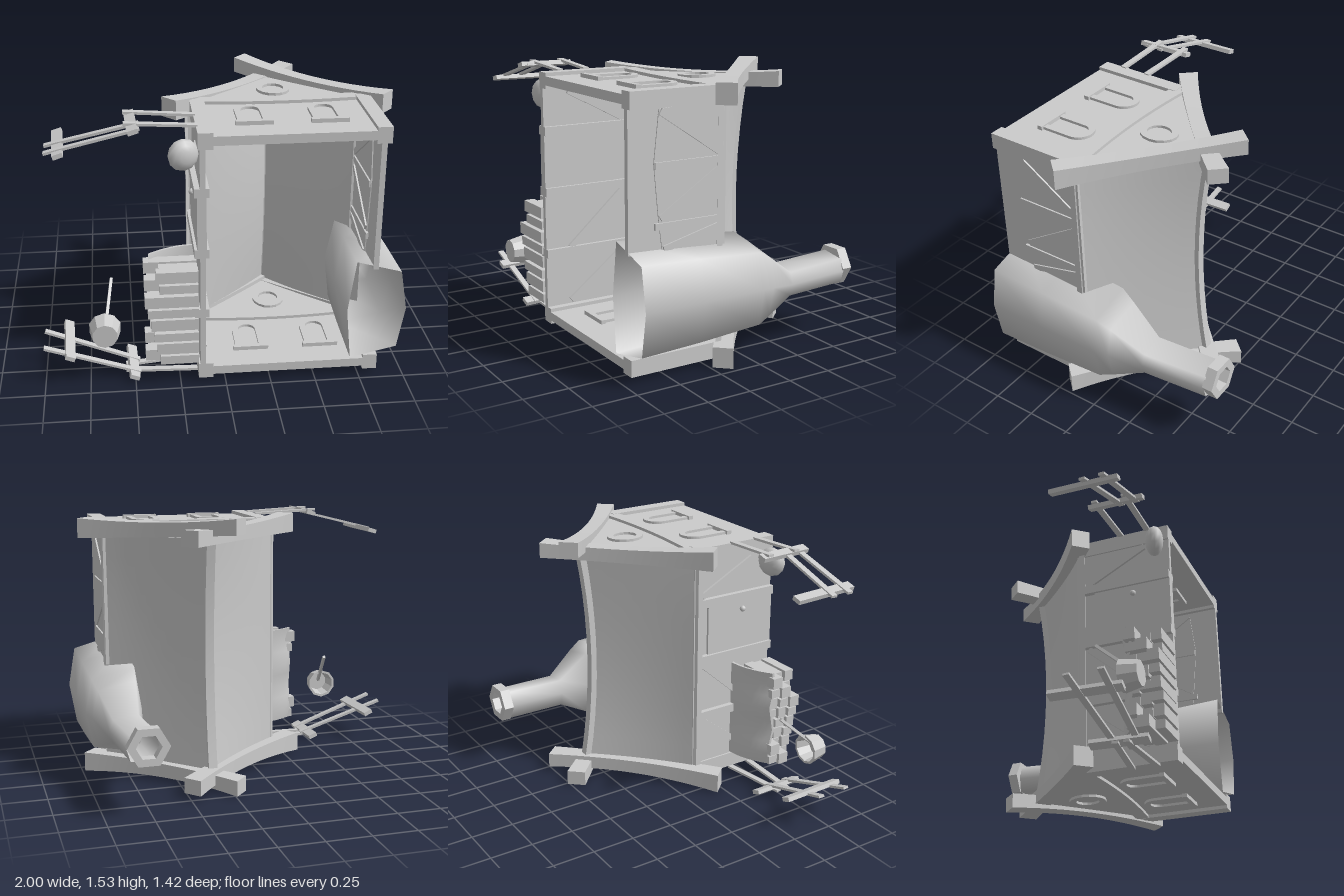
import * as THREE from 'three';
import { toCreasedNormals } from 'three/addons/utils/BufferGeometryUtils.js';

const grey = new THREE.MeshStandardMaterial({ color: 0xcccccc });
const flat = new THREE.MeshStandardMaterial({ color: 0xcccccc, flatShading: true });
const thin = new THREE.MeshStandardMaterial({ color: 0xcccccc, side: THREE.DoubleSide });
const V = (x, y, z) => new THREE.Vector3(x, y, z);

export function createModel() {
  const root = new THREE.Group();
  // The cottage is laid on its back: inside this group y is the cottage's own up.
  const house = new THREE.Group();
  house.name = 'cottage';
  house.rotation.x = -Math.PI / 2;
  root.add(house);

  function add(name, geo, mat = flat, x = 0, y = 0, z = 0) {
    const m = new THREE.Mesh(geo, mat);
    m.name = name;
    m.position.set(x, y, z);
    house.add(m);
    return m;
  }
  const box = (name, w, h, d, x, y, z) => add(name, new THREE.BoxGeometry(w, h, d), flat, x, y, z);
  // straight timber between two points
  function bar(name, a, b, w, h) {
    const m = new THREE.Mesh(new THREE.BoxGeometry(w, h, a.distanceTo(b)), flat);
    m.name = name;
    m.position.copy(a).lerp(b, 0.5);
    m.lookAt(b);
    house.add(m);
  }
  // extrusion centred on its own depth
  function plate(name, shape, depth, x, y, z) {
    const g = new THREE.ExtrudeGeometry(shape, { depth, bevelEnabled: false, curveSegments: 8 });
    g.translate(0, 0, -depth / 2);
    return add(name, g, flat, x, y, z);
  }
  function bend(geo, rule) {
    const p = geo.attributes.position, v = V();
    for (let i = 0; i < p.count; i++) {
      rule(v.fromBufferAttribute(p, i));
      p.setXYZ(i, v.x, v.y, v.z);
    }
    geo.computeVertexNormals();
    return toCreasedNormals(geo, 0.7);
  }
  const poly = pts => new THREE.Shape(pts.map(p => new THREE.Vector2(...p)));

  // Roof: concave slopes with a sagging ridge and ridge board
  add('roof', bend(new THREE.BoxGeometry(2, 0.035, 1.3, 16, 1, 10), v => {
    const t = Math.abs(v.x), r = 1 - t;
    const sag = 1 - (v.z / 0.65) ** 2;
    v.y += -0.17 + 0.49 * r - 0.08 * r * t - 0.06 * sag * r;
    v.x = 0.34 + v.x * 0.515;
    v.z += 0.77;
  }), thin);
  add('ridgeBoard', bend(new THREE.BoxGeometry(0.05, 0.045, 1.3, 1, 1, 10), v => {
    v.y += 0.322 - 0.06 * (1 - (v.z / 0.65) ** 2);
    v.x += 0.335;
    v.z += 0.77;
  }), grey);

  // Gable ends
  function arch(w, h) {
    const s = new THREE.Shape();
    s.moveTo(-w, 0);
    s.lineTo(w, 0);
    s.lineTo(w, h - w);
    s.absarc(0, h - w, w, 0, Math.PI);
    return s;
  }
  for (const s of [1, -1]) {
    const z = s > 0 ? 1.445 : 0.085;
    plate('gableWall', poly([[-0.13, -0.7], [0.83, -0.7], [0.83, -0.16], [0.62, 0.02],
      [0.34, 0.31], [0.06, 0.02], [-0.15, -0.16]]), 0.05, 0, 0, z);
    for (const x of [-0.11, 0.815])
      box('cornerPost', 0.08, 0.54, 0.09, x, -0.43, z);
    // arched tie beam
    add('tieBeam', bend(new THREE.BoxGeometry(0.96, 0.08, 0.085, 10, 1, 1), v => {
      v.y += -0.155 - 0.03 * (1 - (v.x / 0.48) ** 2);
      v.x += 0.345;
    }), grey, 0, 0, z);
    // arched windows
    for (const x of [0.16, 0.56]) {
      const frame = arch(0.085, 0.27);
      const hole = arch(0.05, 0.235);
      frame.holes.push(new THREE.Path(hole.getPoints(8)));
      plate('windowFrame', frame, 0.08, x, -0.53, z);
      box('windowSill', 0.2, 0.03, 0.095, x, -0.535, z);
    }
    const ring = new THREE.Shape().absellipse(0, 0, 0.095, 0.11, 0, Math.PI * 2);
    ring.holes.push(new THREE.Path().absellipse(0, 0, 0.06, 0.07, 0, Math.PI * 2));
    plate('roundWindow', ring, 0.08, 0.34, 0.02, z);

    // crossing barge boards, sagging and waisted
    const ends = [
      [s > 0 ? [-0.265, -0.2] : [-0.315, -0.23], [0.49, 0.485], -0.01],
      [[0.95, -0.205], [0.205, 0.47], s > 0 ? 0.045 : 0.018],
    ];
    for (const [a, b, out] of ends) {
      const dx = b[0] - a[0], dy = b[1] - a[1], len = Math.hypot(dx, dy);
      const g = bend(new THREE.BoxGeometry(len, 0.11, 0.1, 12, 1, 1), v => {
        const u = v.x / len * 2, mid = 1 - u * u;
        v.y *= 1 - 0.2 * mid;
        v.z *= 1 - 0.2 * mid - 0.12 * u;
        v.y -= Math.sign(dx) * 0.025 * mid;
        v.z += s * (out * (u + 1) / 2 - 0.015 * mid);
      });
      add('bargeBoard', g, grey, (a[0] + b[0]) / 2, (a[1] + b[1]) / 2, z + s * 0.01)
        .rotation.z = Math.atan2(dy, dx);
    }
  }

  // Side walls, each with a raised upper panel and timber framing
  box('leftWall', 0.03, 0.54, 1.34, -0.125, -0.43, 0.765);
  box('rightWall', 0.03, 0.54, 0.76, 0.815, -0.43, 1.05);
  plate('rightPanel', poly([[0.66, -0.17], [0.66, -0.505], [0.86, -0.53], [1.12, -0.555], [1.39, -0.525], [1.42, -0.17]]),
    0.042, 0.815, 0, 0).rotation.y = -Math.PI / 2;
  box('eaveBeam', 0.07, 0.04, 1.3, -0.125, -0.155, 0.765);
  box('eaveBeam', 0.07, 0.04, 0.76, 0.815, -0.155, 1.04);
  function timbers(x, list) {
    for (const [y1, z1, y2, z2] of list)
      bar('wallTimber', V(x, y1, z1), V(x, y2, z2), 0.06, 0.035);
  }
  timbers(0.815, [[-0.52, 1.38, -0.17, 1.15], [-0.52, 0.84, -0.17, 1.06], [-0.5, 0.68, -0.17, 0.76]]);
  timbers(-0.125, [[-0.55, 0.15, -0.2, 0.42], [-0.55, 0.47, -0.2, 0.78], [-0.55, 1.38, -0.2, 1.2]]);
  for (const z of [0.8, 1.11]) box('rightStud', 0.06, 0.38, 0.035, 0.815, -0.36, z);
  for (const z of [0.45, 0.81, 1.16]) box('leftStud', 0.08, 0.53, 0.05, -0.13, -0.435, z);
  box('door', 0.05, 0.46, 0.3, -0.13, -0.47, 0.985);
  add('doorKnob', new THREE.SphereGeometry(0.018, 8, 6), grey, -0.165, -0.48, 1.08);

  // Hollow chimney: six-sided loft narrowing to a neck
  const corner = [[0.17, 0], [0.13, 0.23], [-0.12, 0.3], [-0.16, 0], [-0.13, -0.3], [0.13, -0.24]];
  // height, centre x, centre z, scale x, scale z
  const rings = [[-0.7, 0.83, 0.42, 1, 1], [-0.35, 0.83, 0.42, 1, 0.94], [0.02, 0.83, 0.42, 0.98, 0.84],
    [0.1, 0.825, 0.41, 0.86, 0.68], [0.28, 0.81, 0.38, 0.57, 0.28], [0.66, 0.79, 0.39, 0.53, 0.29]];
  const pos = [], idx = [];
  rings.forEach(([y, cx, cz, sx, sz], j) => corner.forEach(([x, z], i) => {
    pos.push(cx + x * sx, y, cz + z * sz);
    if (j < rings.length - 1) {
      const a = j * 6 + i, b = j * 6 + (i + 1) % 6;
      idx.push(a, a + 6, b, b, a + 6, b + 6);
    }
  }));
  const loft = new THREE.BufferGeometry();
  loft.setAttribute('position', new THREE.Float32BufferAttribute(pos, 3));
  loft.setIndex(idx);
  loft.computeVertexNormals();
  add('chimney', loft, thin);
  const hex = r => [0, 1, 2, 3, 4, 5].map(i => [r * Math.cos(i * Math.PI / 3), r * Math.sin(i * Math.PI / 3)]);
  const cap = poly(hex(0.116));
  cap.holes.push(poly(hex(0.07)));
  plate('chimneyCap', cap, 0.06, 0.77, 0.682, 0.403).rotation.x = Math.PI / 2;

  // Woodpile under a draped cover
  for (let i = 0; i < 8; i++)
    for (let j = 0; j < 3; j++) {
      const k = (i * 7 + j * 5) % 6, len = 0.21 + k * 0.016;
      box('log', len, 0.054 + (k % 3) * 0.006, 0.05 + (k % 2) * 0.016,
        -0.15 - len / 2, -0.68 + j * 0.066, 0.17 + i * 0.073);
    }
  add('woodCover', bend(new THREE.BoxGeometry(0.27, 0.015, 0.6, 8, 1, 8), v => {
    const u = 0.5 - v.x / 0.27;
    v.y += -0.435 - 0.1 * u * u + 0.014 * Math.sin(v.z * 22) * u;
    v.x -= 0.275;
    v.z += 0.44;
  }), grey);

  // Bucket with a stick
  const pail = [[0, -0.69], [0.07, -0.69], [0.09, -0.59], [0.075, -0.59], [0.06, -0.675], [0, -0.675]];
  add('bucket', new THREE.LatheGeometry(pail.map(p => new THREE.Vector2(...p)), 10), flat, -0.66, 0, 0.33);
  bar('bucketStick', V(-0.66, -0.66, 0.34), V(-0.615, -0.43, 0.55), 0.016, 0.016);

  // Sack by the wall
  const sack = add('sack', new THREE.SphereGeometry(1, 12, 8), grey, -0.22, -0.64, 1.355);
  sack.scale.set(0.085, 0.052, 0.087);
  sack.rotation.z = 0.35;

  // Fences: two angled runs of rails with flat posts
  function fence(start, knee, end, outer, rails, out) {
    for (const [y1, y2, y3, y4] of rails) {
      bar('fenceRail', V(start[0], y1, start[1]), V(knee[0] - 0.04, y2, knee[1]), 0.014, 0.035);
      bar('fenceRail', V(knee[0] + 0.04, y3, knee[1] + out * 0.012), V(end[0], y4, end[1]), 0.014, 0.035);
    }
    const dx = knee[0] - end[0], dz = knee[1] - end[1], turn = Math.atan2(-dz, dx);
    for (const [t, h, y] of [[0, 0.32, -0.51], [outer, 0.39, -0.475]]) {
      const post = box('fencePost', 0.055, h, 0.025, knee[0] - dx * t, y, knee[1] - dz * t + out * 0.016);
      post.rotation.set(0, turn, 0.04);
    }
  }
  fence([-0.14, 1.49], [-0.48, 1.51], [-0.93, 1.375], 0.85,
    [[-0.41, -0.39, -0.53, -0.49], [-0.575, -0.57, -0.62, -0.6]], -1);
  fence([-0.14, 0.03], [-0.51, 0.03], [-1, 0.23], 0.72,
    [[-0.44, -0.5, -0.48, -0.43], [-0.58, -0.56, -0.6, -0.61]], 1);

  return root;
}
